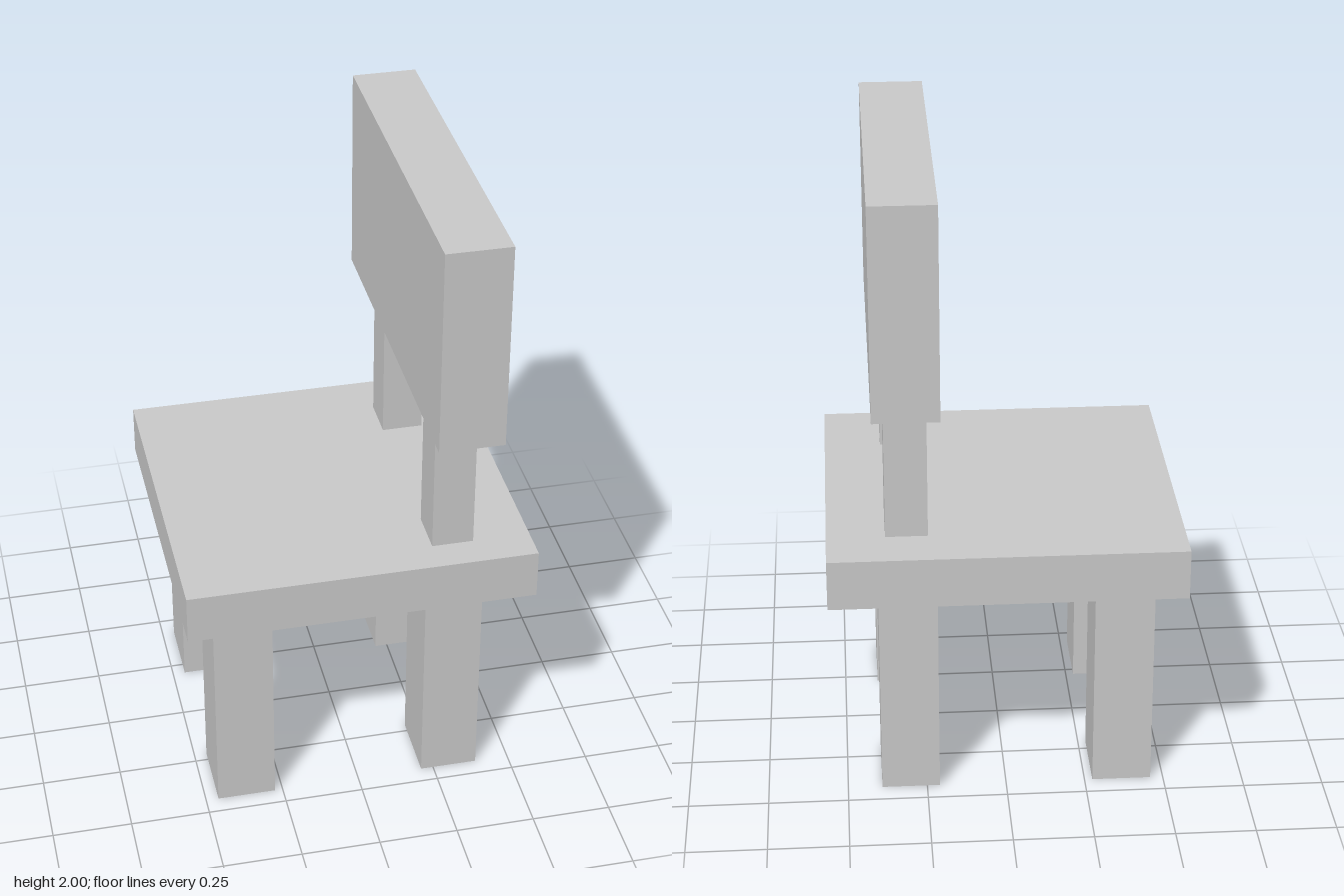
import * as THREE from 'three';

const material = new THREE.MeshStandardMaterial({ color: 0xcccccc, flatShading: true });

// Box given by its [min, max] range on each axis
function block(name, [x0, x1], [y0, y1], [z0, z1]) {
  const mesh = new THREE.Mesh(new THREE.BoxGeometry(x1 - x0, y1 - y0, z1 - z0), material);
  mesh.position.set((x0 + x1) / 2, (y0 + y1) / 2, (z0 + z1) / 2);
  mesh.name = name;
  return mesh;
}

export function createModel() {
  const chair = new THREE.Group();
  chair.name = 'chair';

  const seatY = [0.71, 0.87];
  const backrestY = [1.335, 2];

  // Seat slab and backrest panel (the chair faces -x)
  chair.add(block('seat', [-0.548, 0.546], seatY, [-0.545, 0.51]));
  chair.add(block('backrest', [0.202, 0.403], backrestY, [-0.575, 0.575]));

  // Four legs
  const legX = { front: [-0.46, -0.275], rear: [0.21, 0.392] };
  const legZ = { Left: [-0.432, -0.206], Right: [0.22, 0.443] };
  for (const [end, x] of Object.entries(legX)) {
    for (const [side, z] of Object.entries(legZ)) {
      chair.add(block(`${end}Leg${side}`, x, [0, seatY[0]], z));
    }
  }

  // Two posts carrying the backrest
  const postZ = { Left: [-0.39, -0.25], Right: [0.26, 0.405] };
  for (const [side, z] of Object.entries(postZ)) {
    chair.add(block(`backPost${side}`, [0.236, 0.366], [seatY[1], backrestY[0]], z));
  }

  return chair;
}
